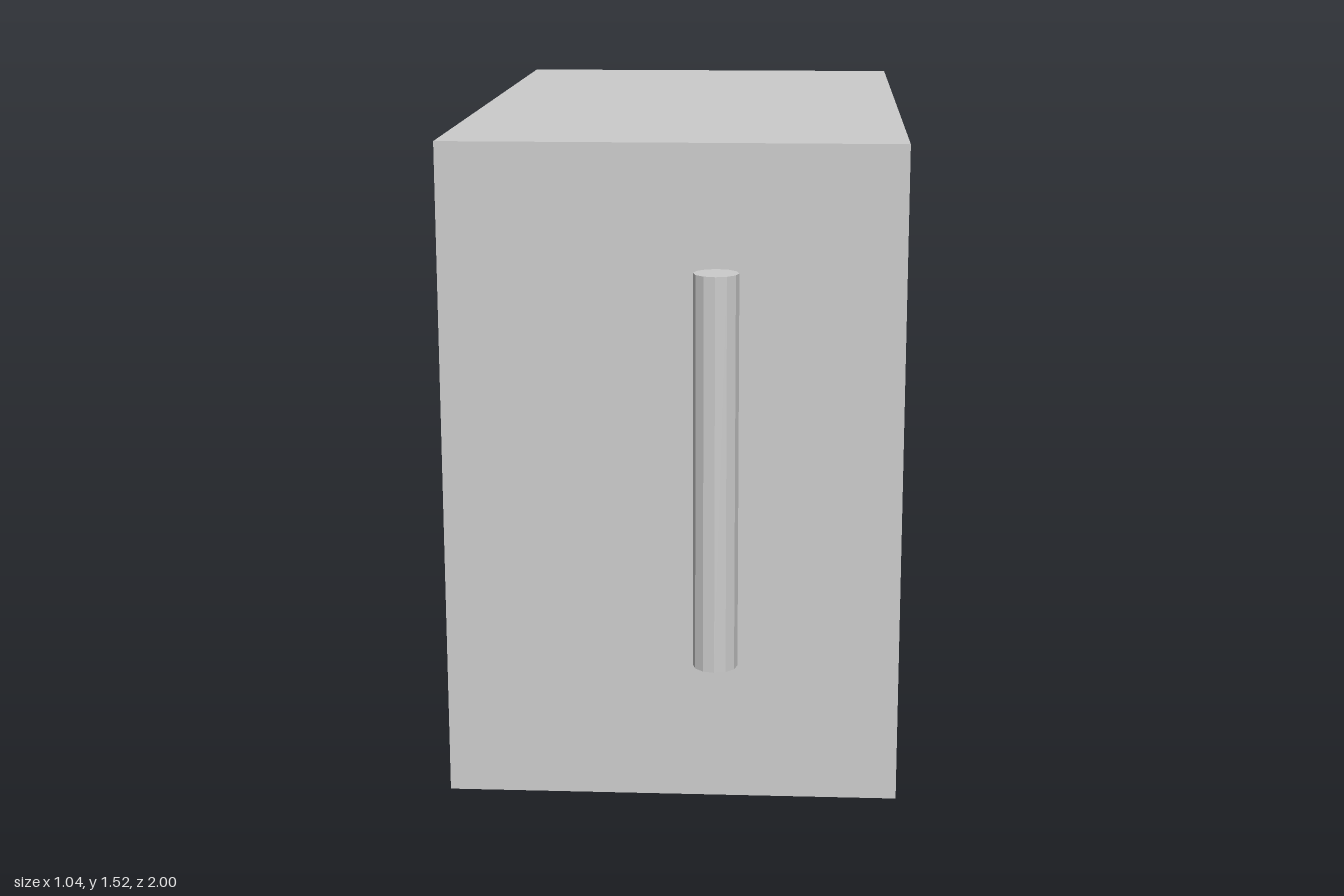
import * as THREE from 'three';

const material = new THREE.MeshStandardMaterial({ color: 0xcccccc, flatShading: true });

function part(name, geometry, x = 0, y = 0, z = 0) {
  const mesh = new THREE.Mesh(geometry, material);
  mesh.name = name;
  mesh.position.set(x, y, z);
  return mesh;
}

const points = (list) => list.map(([z, y]) => new THREE.Vector2(z, y));

const rectangle = (z0, z1, y0, y1) => points([[z0, y0], [z1, y0], [z1, y1], [z0, y1]]);

// Extrudes a (z, y) outline from x = 0 towards -x
function extrudeSideways(outline, depth, hole) {
  const shape = new THREE.Shape(outline);
  if (hole) shape.holes.push(new THREE.Path(hole));
  return new THREE.ExtrudeGeometry(shape, { depth, bevelEnabled: false }).rotateY(-Math.PI / 2);
}

export function createModel() {
  const model = new THREE.Group();
  model.name = 'ventilatorBox';

  // Housing: hollow frame open on the +x side, closed by a panel on the other
  const outer = rectangle(-1, 0.83, 0, 1.52);
  const opening = rectangle(-0.66, 0.73, 0.09, 1.43);
  const wall = 0.09;
  model.add(part('housingFrame', extrudeSideways(outer, 1.04 - wall, opening), 0.52));
  model.add(part('housingPanel', extrudeSideways(outer, wall), -0.52 + wall));

  // Louvre slats, sloping down towards the outside
  const slatGeometry = new THREE.BoxGeometry(0.06, 0.012, 1.39);
  for (const y of [1.355, 1.22, 1.1, 0.96, 0.81, 0.688, 0.555, 0.415, 0.26]) {
    const slat = part('louvreSlat', slatGeometry, 0.39, y, 0.035);
    slat.rotation.z = -Math.PI / 6;
    model.add(slat);
  }

  // Fan: ten-sided hub with five thick blades set slightly irregularly
  const fan = new THREE.Group();
  fan.name = 'fan';
  const hubOutline = [];
  for (let i = 0; i < 10; i++) {
    const a = Math.PI / 2 + (i * Math.PI) / 5;
    hubOutline.push(new THREE.Vector2(0.21 * Math.cos(a), 0.21 * Math.sin(a)));
  }
  fan.add(part('fanHub', extrudeSideways(hubOutline, 0.775), 0.345, 0.81, 0.05));

  // Blade outline: local origin between its two widest corners, tip along +z
  const bladeOutline = points([
    [-0.6, -0.036], [0, -0.255], [0.09, -0.145], [0.12, 0],
    [0.09, 0.145], [0, 0.255], [-0.6, 0.036],
  ]);
  const bladeGeometry = extrudeSideways(bladeOutline, 0.22);
  const blades = [ // z, y, angle in degrees
    [0, 0.17, -90], [0.55, 0.6, -16], [0.275, 1.225, 65],
    [-0.375, 1.155, 132], [-0.515, 0.52, -156],
  ];
  for (const [z, y, angle] of blades) {
    const blade = part('fanBlade', bladeGeometry, 0.06, y, z);
    blade.rotation.x = -THREE.MathUtils.degToRad(angle);
    fan.add(blade);
  }
  model.add(fan);

  // Front handle: upright bar on two short posts
  const handle = new THREE.Group();
  handle.name = 'handle';
  handle.add(part('handleBar', new THREE.CylinderGeometry(0.05, 0.05, 0.89, 12), 0.105, 0.81, 0.95));
  const postGeometry = new THREE.CylinderGeometry(0.036, 0.036, 0.12, 10).rotateX(Math.PI / 2);
  for (const y of [1.1, 0.565]) handle.add(part('handlePost', postGeometry, 0.105, y, 0.88));
  model.add(handle);

  return model;
}
